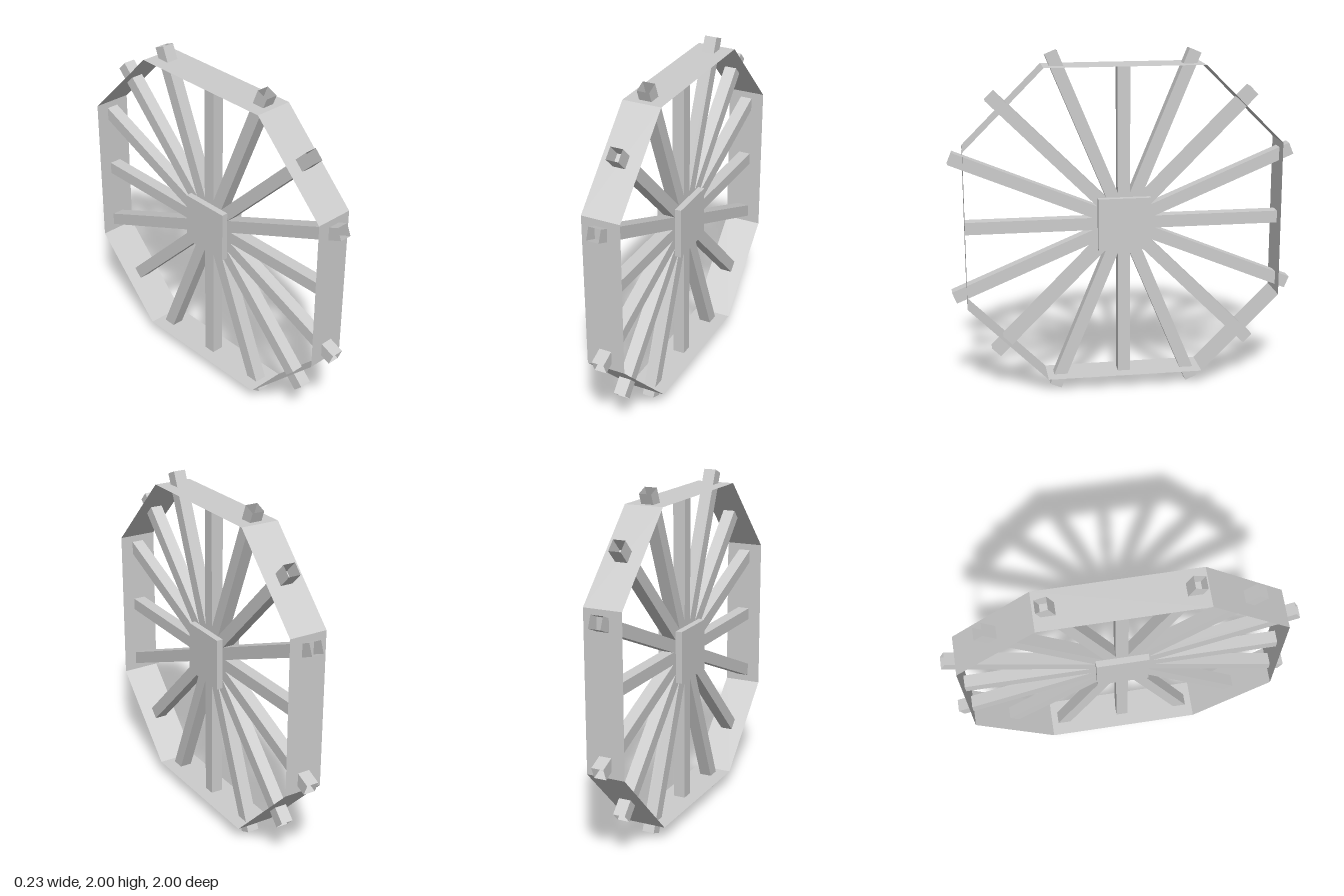
import * as THREE from 'three';

const material = new THREE.MeshStandardMaterial({
  color: 0xcccccc, flatShading: true, side: THREE.DoubleSide,
});

function addMesh(parent, name, geometry) {
  const flat = geometry.toNonIndexed();
  flat.computeVertexNormals();
  const mesh = new THREE.Mesh(flat, material);
  mesh.name = name;
  parent.add(mesh);
  return mesh;
}

export function createModel() {
  const wheel = new THREE.Group();
  wheel.name = 'wheel';
  wheel.position.y = 1; // axle runs along x, one unit above the ground

  // Rim: a square with chamfered corners, made of eight thin panels
  const rim = new THREE.Group();
  rim.name = 'rim';
  wheel.add(rim);
  const reach = 0.914, halfFlat = 0.457, rimWidth = 0.226;
  for (let i = 0; i < 8; i++) {
    const diagonal = i % 2 === 1;
    const length = diagonal ? (reach - halfFlat) * Math.SQRT2 : halfFlat * 2;
    const distance = diagonal ? (reach + halfFlat) / Math.SQRT2 : reach;
    const panel = new THREE.PlaneGeometry(rimWidth, length);
    panel.translate(0, 0, distance);
    panel.rotateX((i * Math.PI) / 4);
    addMesh(rim, 'rimPanel', panel);
  }

  // Spokes: open square tubes through the hub; the upright and level
  // pairs stop at the rim, all others poke through it
  const spokes = new THREE.Group();
  spokes.name = 'spokes';
  wheel.add(spokes);
  const radius = 0.036 * Math.SQRT2;
  for (let i = 0; i < 8; i++) {
    const halfLength = i % 4 === 0 ? 0.913 : 1.067;
    const tube = new THREE.CylinderGeometry(radius, radius, halfLength * 2, 4, 1, true);
    tube.rotateY(Math.PI / 4);
    tube.rotateX((i * Math.PI) / 8);
    addMesh(spokes, 'spokePair', tube);
  }

  // Hub: square block standing proud of the spokes on both sides
  addMesh(wheel, 'hub', new THREE.BoxGeometry(0.148, 0.306, 0.306));

  const model = new THREE.Group();
  model.name = 'spokedWheel';
  model.add(wheel);
  return model;
}
